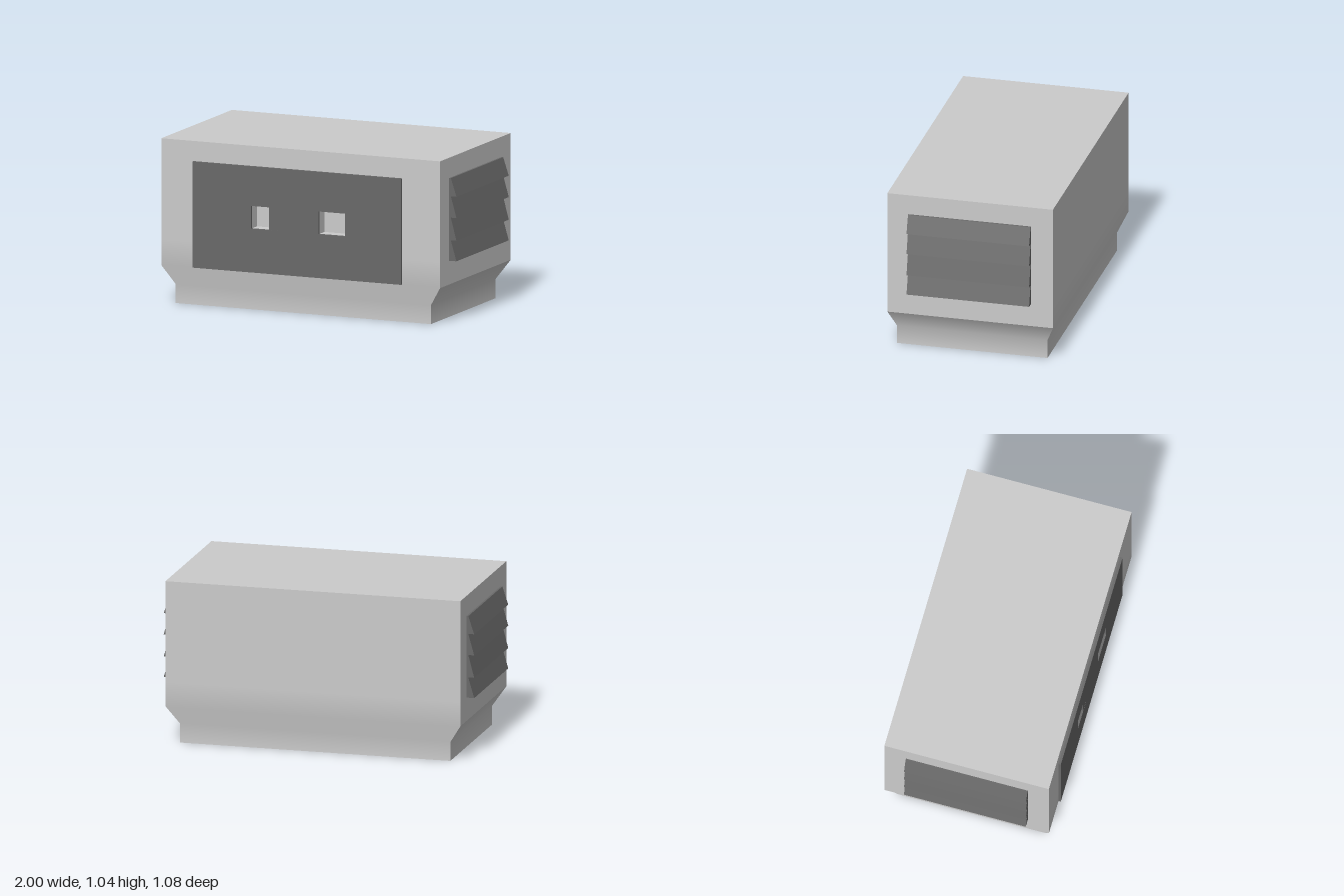
import * as THREE from 'three';

const grey = new THREE.MeshStandardMaterial({ color: 0xcccccc });
const dark = new THREE.MeshStandardMaterial({ color: 0x696969 });

// Horizontal outlines: corners run counter-clockwise seen from above, from front left
const outline = (x, z0, z1) => [[-x, z1], [x, z1], [x, z0], [-x, z0]];
const full = outline(0.95, -0.54, 0.52);
const base = outline(0.87, -0.485, 0.48);
const normals = [[0, 1], [1, 0], [0, -1], [-1, 0]];

// Window openings: x range, shared heights
const windows = [[-0.33, -0.15], [0.13, 0.31]];
const winY = [0.52, 0.663];

function rectangle(target, x0, x1, y0, y1) {
  target.moveTo(x0, y0);
  target.lineTo(x1, y0);
  target.lineTo(x1, y1);
  target.lineTo(x0, y1);
  target.closePath();
  return target;
}

function wallShape(x0, x1, y0, y1) {
  const shape = rectangle(new THREE.Shape(), x0, x1, y0, y1);
  for (const [a, b] of windows) shape.holes.push(rectangle(new THREE.Path(), a, b, ...winY));
  return shape;
}

// Four walls with a tapered foot; the foot is softly shaded, the corners are sharp
function shellGeometry() {
  const pos = [], nor = [];
  const quad = (a, b, c, d, na, nb) => {
    pos.push(...a, ...b, ...c, ...a, ...c, ...d);
    nor.push(...na, ...na, ...nb, ...na, ...nb, ...nb);
  };
  for (let i = 0; i < 4; i++) {
    const j = (i + 1) % 4, [nx, nz] = normals[i];
    const longSide = i % 2 === 0;
    const inset = longSide ? 0.045 : 0.08;
    const slope = Math.atan2(inset, 0.12);
    const normal = (tilt) => [nx * Math.cos(tilt), -Math.sin(tilt), nz * Math.cos(tilt)];
    // Each band: lower height, outline and tilt, then upper height, outline and tilt
    const bands = [
      [0, base, 0, 0.12, base, slope / 2],
      [0.12, base, slope / 2, 0.24, full, longSide ? slope / 2 : slope],
      [0.24, full, longSide ? slope / 2 : 0, 0.4, full, 0],
    ];
    if (i > 0) bands.push([0.4, full, 0, 1.04, full, 0]);
    for (const [y0, o0, t0, y1, o1, t1] of bands) {
      const at = (o, k, y) => [o[k][0], y, o[k][1]];
      quad(at(o0, i, y0), at(o0, j, y0), at(o1, j, y1), at(o1, i, y1), normal(t0), normal(t1));
    }
  }
  // Roof and underside
  const lid = (o, y) => o.map(([x, z]) => [x, y, z]);
  const [a, b, c, d] = lid(full, 1.04);
  quad(a, b, c, d, [0, 1, 0], [0, 1, 0]);
  const [e, f, g, h] = lid(base, 0);
  quad(h, g, f, e, [0, -1, 0], [0, -1, 0]);
  const geo = new THREE.BufferGeometry();
  geo.setAttribute('position', new THREE.Float32BufferAttribute(pos, 3));
  geo.setAttribute('normal', new THREE.Float32BufferAttribute(nor, 3));
  return geo;
}

export function createModel() {
  const model = new THREE.Group();
  model.name = 'ventilatedHousing';
  const add = (name, geometry, material, x = 0, y = 0, z = 0) => {
    const mesh = new THREE.Mesh(geometry, material);
    mesh.name = name;
    mesh.position.set(x, y, z);
    model.add(mesh);
    return mesh;
  };

  // Housing with a pierced front wall
  add('housing', shellGeometry(), grey);
  add('frontWall', new THREE.ShapeGeometry(wallShape(-0.95, 0.95, 0.4, 1.04)), grey, 0, 0, 0.52);

  // Front panel with the same two openings
  const panel = new THREE.ExtrudeGeometry(wallShape(-0.73, 0.69, 0.243, 0.913),
    { depth: 0.016, bevelEnabled: false });
  add('frontPanel', panel, dark, 0, 0, 0.519);

  // Recesses behind the openings: back, two sides, floor and ceiling
  const depth = 0.07, midY = (winY[0] + winY[1]) / 2, height = winY[1] - winY[0];
  for (const [a, b] of windows) {
    const w = b - a, mid = (a + b) / 2, z = 0.52 - depth / 2;
    add('recessBack', new THREE.PlaneGeometry(w, height), grey, mid, midY, 0.52 - depth);
    for (const s of [-1, 1]) {
      add('recessSide', new THREE.PlaneGeometry(depth, height), grey, mid + s * w / 2, midY, z)
        .rotation.y = -s * Math.PI / 2;
      add('recessLedge', new THREE.PlaneGeometry(w, depth), grey, mid, midY + s * height / 2, z)
        .rotation.x = s * Math.PI / 2;
    }
  }

  // Sliding shutter partly closing one opening
  add('shutter', new THREE.BoxGeometry(0.06, height, 0.014), dark, -0.181, midY, 0.527);

  // Slanted louvre slats on both ends
  const levels = [0.39, 0.52, 0.663, 0.798, 0.912];
  for (const s of [-1, 1]) {
    for (let i = 0; i < 4; i++) {
      const y0 = levels[i], y1 = levels[i + 1];
      const profile = new THREE.Shape([[0.94, y0], [1, y0], [0.962, y1], [0.94, y1]]
        .map(([x, y]) => new THREE.Vector2(s * x, y)));
      const slat = new THREE.ExtrudeGeometry(profile, { depth: 0.785, bevelEnabled: false });
      add(s > 0 ? 'leftSlat' : 'rightSlat', slat, dark, 0, 0, -0.4);
    }
  }
  return model;
}
